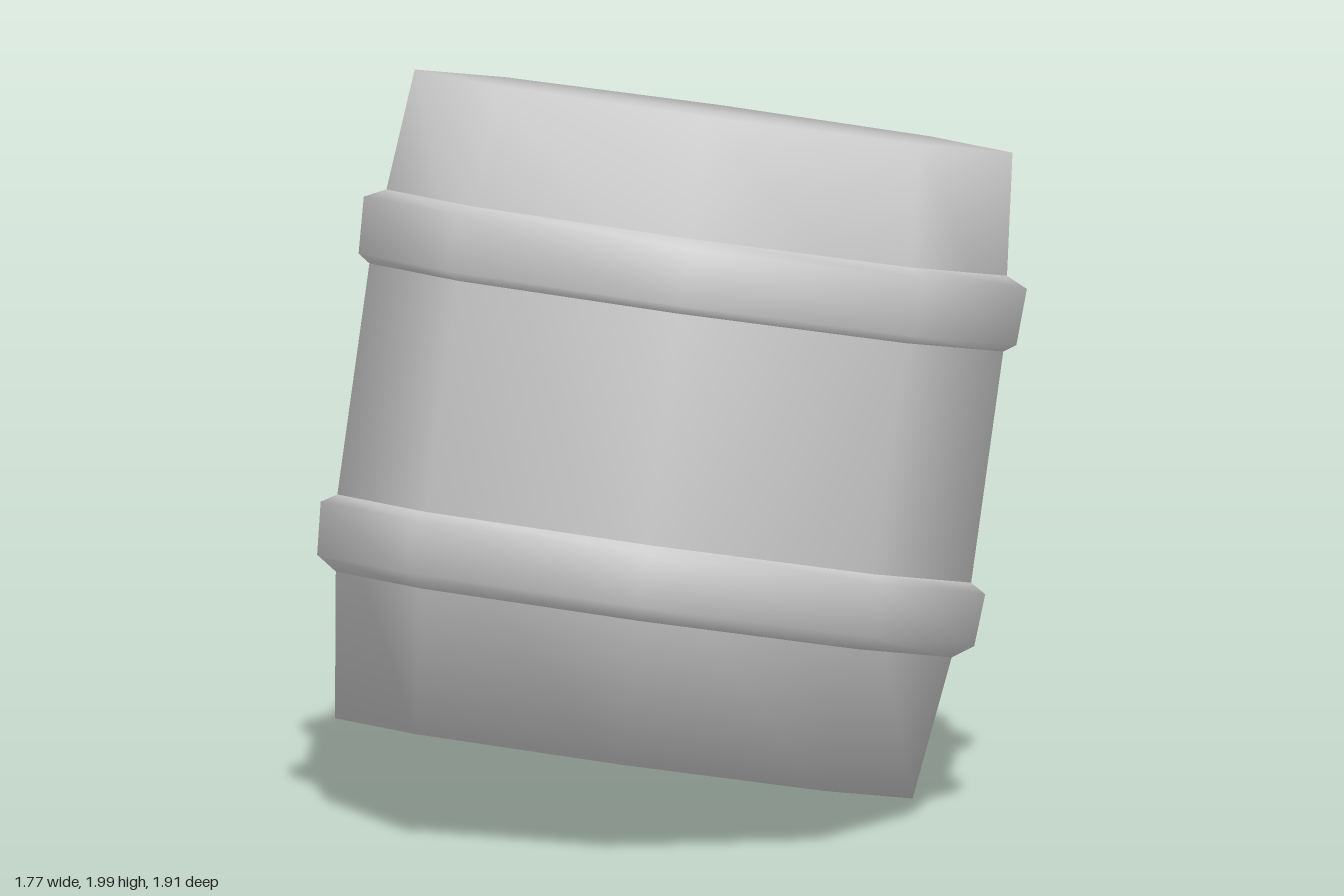
import * as THREE from 'three';

const material = new THREE.MeshStandardMaterial({ color: 0xcccccc, side: THREE.DoubleSide });

// Eight-sided turned part with a smoothed profile of [radius, height] points
function turned(name, profile) {
  const points = profile.map(([r, y]) => new THREE.Vector2(r, y));
  const mesh = new THREE.Mesh(new THREE.LatheGeometry(points, 8), material);
  mesh.name = name;
  return mesh;
}

// Sheet bent once down the middle, built from its top and bottom edges
function bentSheet(top, bottom) {
  const positions = [];
  const index = [];
  top.forEach((p, i) => {
    positions.push(...p, ...bottom[i]);
    if (i > 0) {
      const a = 2 * (i - 1);
      index.push(a, a + 2, a + 1, a + 1, a + 2, a + 3);
    }
  });
  const geometry = new THREE.BufferGeometry();
  geometry.setAttribute('position', new THREE.Float32BufferAttribute(positions, 3));
  geometry.setIndex(index);
  geometry.computeVertexNormals();
  return geometry;
}

export function createModel() {
  const model = new THREE.Group();
  model.name = 'leaningBarrel';

  // Barrel leaning backwards
  const barrel = new THREE.Group();
  barrel.name = 'barrel';
  barrel.position.set(0, 1, 0.01);
  barrel.rotation.x = -0.19;
  model.add(barrel);

  // Closed body, bulging between the hoops
  barrel.add(turned('body', [
    [0, -0.863], [0.77, -0.863], [0.845, -0.3], [0.845, 0.35], [0.797, 0.863], [0, 0.863],
  ]));

  // Hoops
  barrel.add(turned('upperHoop', [[0.84, 0.336], [0.877, 0.361], [0.884, 0.512], [0.825, 0.54]]));
  barrel.add(turned('lowerHoop', [[0.82, -0.48], [0.876, -0.442], [0.886, -0.302], [0.842, -0.275]]));

  // Crooked panel wrapped around the back
  const panel = new THREE.Mesh(bentSheet(
    [[0.28, 1.1, -0.92], [-0.2, 1.155, -0.95], [-0.64, 1.24, -0.74]],
    [[0.19, 0.38, -0.77], [-0.28, 0.41, -0.8], [-0.76, 0.53, -0.6]],
  ), material);
  panel.name = 'backPanel';
  model.add(panel);

  return model;
}
